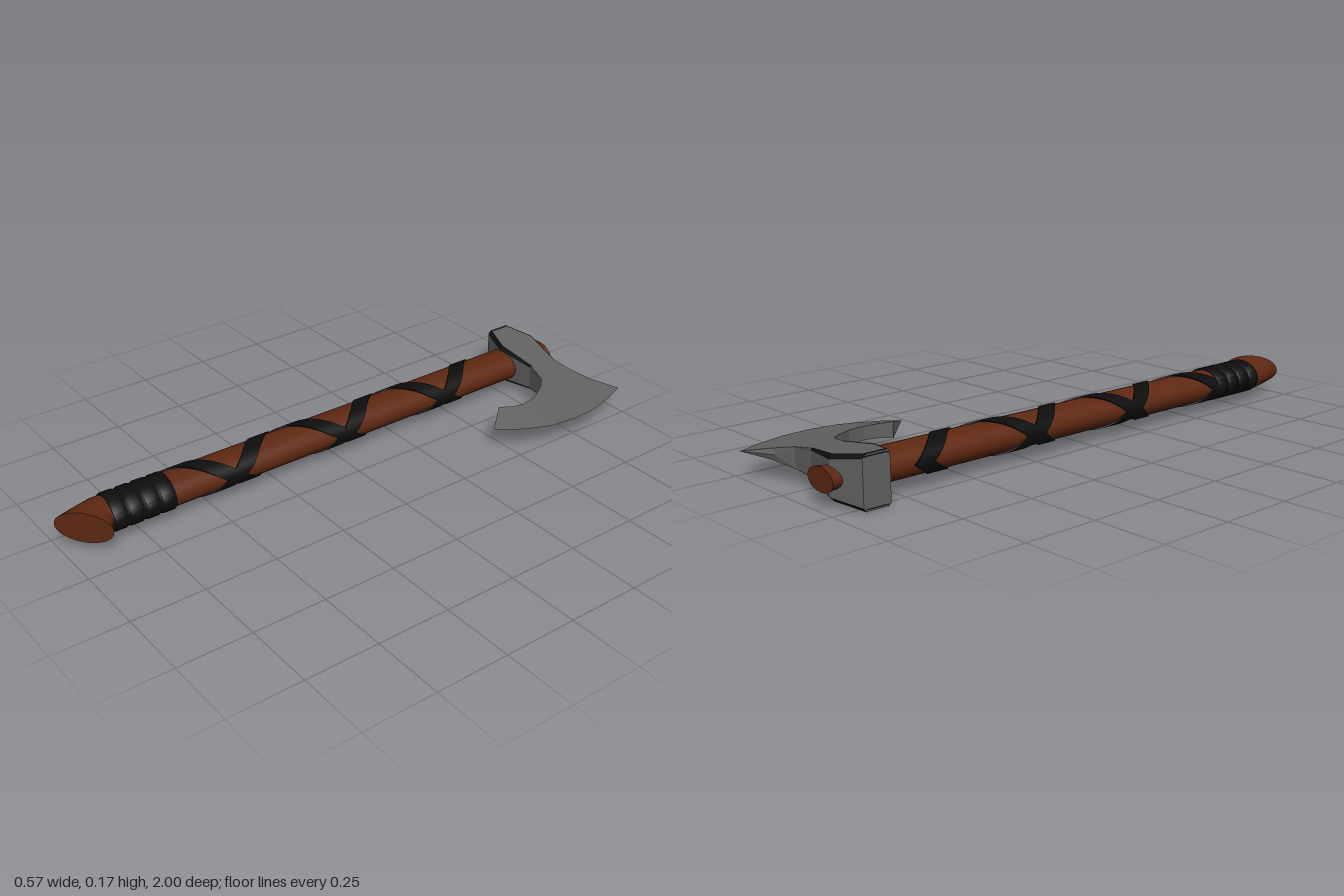
import * as THREE from 'three';
import { toCreasedNormals } from 'three/addons/utils/BufferGeometryUtils.js';

const CY = 0.083; // height of the centre plane
const CX = -0.17; // shaft axis

const wood = new THREE.MeshStandardMaterial({ color: 0x5e2812 });
const leather = new THREE.MeshStandardMaterial({ color: 0x0d0d0d });
const steel = new THREE.MeshStandardMaterial({ color: 0x626262 });

// Skin a row of equal-length closed rings and cap both ends
function loft(rings, crease = 0.6) {
  const n = rings[0].length;
  const tris = [];
  for (let i = 0; i < rings.length - 1; i++) {
    for (let j = 0; j < n; j++) {
      const k = (j + 1) % n;
      const a = rings[i][j], b = rings[i][k], c = rings[i + 1][k], d = rings[i + 1][j];
      tris.push([a, b, c], [a, c, d]);
    }
  }
  const cap = (ring, flip) => {
    const mid = [0, 1, 2].map((q) => ring.reduce((s, p) => s + p[q], 0) / n);
    ring.forEach((p, j) => {
      const next = ring[(j + 1) % n];
      tris.push(flip ? [mid, next, p] : [mid, p, next]);
    });
  };
  cap(rings[0], true);
  cap(rings[rings.length - 1], false);
  // Face outward whichever way the rings were listed
  const v = (p) => new THREE.Vector3(...p);
  const volume = tris.reduce((s, [a, b, c]) => s + v(a).dot(v(b).cross(v(c))), 0);
  const out = volume < 0 ? tris.map(([a, b, c]) => [a, c, b]) : tris;
  const geo = new THREE.BufferGeometry();
  geo.setAttribute('position', new THREE.Float32BufferAttribute(out.flat(2), 3));
  geo.computeVertexNormals();
  return toCreasedNormals(geo, crease);
}

// Elliptical ring spanning two points of the ground plan
function ovalRing([x0, z0], [x1, z1], ry, n = 32) {
  return Array.from({ length: n }, (_, i) => {
    const t = (i / n) * Math.PI * 2, u = (1 - Math.cos(t)) / 2;
    return [x0 + (x1 - x0) * u, CY + ry * Math.sin(t), z0 + (z1 - z0) * u];
  });
}
const straightRing = (z, rx, ry) => ovalRing([CX - rx, z], [CX + rx, z], ry);

// Half thickness of the head, tapering from poll to cutting edge
const half = (x) => 0.082 * (0.283 - x) / 0.566;

export function createModel() {
  const model = new THREE.Group();
  const add = (name, geo, mat, parent = model) => {
    const mesh = new THREE.Mesh(geo, mat);
    mesh.name = name;
    parent.add(mesh);
    return mesh;
  };

  // Shaft, flared where it comes out of the head
  add('shaft', loft([
    straightRing(-0.98, 0.062, 0.037), straightRing(-0.945, 0.05, 0.034),
    straightRing(-0.88, 0.06, 0.045), straightRing(-0.8, 0.071, 0.052),
    straightRing(0.82, 0.071, 0.052),
  ]), wood);

  // Pommel with a slanted cut
  add('pommel', loft([
    ovalRing([-0.241, 0.8], [-0.099, 0.8], 0.052),
    ovalRing([-0.241, 0.875], [-0.1, 0.855], 0.052),
    ovalRing([-0.232, 0.92], [-0.088, 0.864], 0.052),
    ovalRing([-0.21, 1.0], [-0.06, 0.875], 0.053),
  ]), wood);

  // Grip bands over a leather sleeve
  const grip = new THREE.Group();
  grip.name = 'grip';
  model.add(grip);
  add('gripSleeve', loft([straightRing(0.635, 0.074, 0.054), straightRing(0.845, 0.074, 0.054)]), leather, grip);
  for (let i = 0; i < 4; i++) {
    const z = 0.63 + i * 0.056, tilt = 0.006;
    const band = (dz, r) => ovalRing([CX - r, z + dz - tilt], [CX + r, z + dz + tilt], r * 0.72);
    add('gripBand', loft([band(0, 0.075), band(0.006, 0.079), band(0.042, 0.079), band(0.048, 0.075)]), leather, grip);
  }

  // Two opposed spiral straps that cross on the sides of the shaft
  for (const side of [1, -1]) {
    const rings = [];
    for (let i = 0; i <= 120; i++) {
      const t = (i / 120) * Math.PI * 6, z = -0.675 + 0.435 * t / (Math.PI * 2);
      const point = (s, dz) => [CX - 0.071 * s * Math.cos(t), CY + side * 0.052 * s * Math.sin(t), z + dz];
      rings.push([point(0.95, -0.036), point(1.08, -0.036), point(1.08, 0.036), point(0.95, 0.036)]);
    }
    add('spiralStrap', loft(rings), leather);
  }

  // Head: chamfered eye block, [x, back z, front z, chamfer]
  const head = new THREE.Group();
  head.name = 'axeHead';
  model.add(head);
  const rows = [
    [-0.283, -0.918, -0.825, 0.011], [-0.18, -0.955, -0.79, 0.011],
    [-0.03, -0.915, -0.802, 0.004], [0.05, -0.917, -0.78, 0.0005],
  ];
  add('eyeBlock', loft(rows.map(([x, a, b, c]) => {
    const h = half(x);
    return [[a, h - c], [a + c, h], [b - c, h], [b, h - c], [b, c - h], [b - c, -h], [a + c, -h], [a, c - h]]
      .map(([z, y]) => [x, CY + y, z]);
  }), 0.1), steel, head);

  // Dark edging on the chamfers and along the poll
  for (const up of [1, -1]) {
    for (const back of [true, false]) {
      add('edging', loft(rows.slice(0, 3).map(([x, a, b, c]) => {
        const z = back ? a : b, s = back ? 1 : -1, h = half(x), o = 0.0015;
        return [[z - s * o, h - c], [z + s * c, h + o], [z + s * c, h - c]]
          .map(([pz, y]) => [x, CY + up * y, pz]);
      }), 0.1), leather, head);
    }
    add('pollEdging', loft([-0.908, -0.835].map((z) => [
      [-0.285, CY + up * 0.075, z], [-0.276, CY + up * 0.083, z], [-0.276, CY + up * 0.075, z],
    ]), 0.1), leather, head);
  }

  // Bearded blade: root, middle and edge of each section in plan
  const sections = [
    [0.05, -0.917, 0.13, -0.945, 0.22, -1.0],
    [0.05, -0.87, 0.15, -0.9, 0.25, -0.92],
    [0.05, -0.78, 0.16, -0.8, 0.277, -0.82],
    [0.08, -0.75, 0.18, -0.735, 0.283, -0.72],
    [0.12, -0.68, 0.2, -0.65, 0.271, -0.62],
    [0.13, -0.62, 0.185, -0.585, 0.243, -0.55],
    [0.122, -0.575, 0.166, -0.533, 0.21, -0.49],
    [0.1, -0.53, 0.135, -0.488, 0.17, -0.445],
  ];
  add('blade', loft(sections.map(([rx, rz, mx, mz, ex, ez]) => {
    const r = half(rx), m = r * (ex - mx) / (ex - rx);
    return [[rx, CY + r, rz], [mx, CY + m, mz], [ex, CY, ez], [mx, CY - m, mz], [rx, CY - r, rz]];
  }), 0.15), steel, head);

  return model;
}
